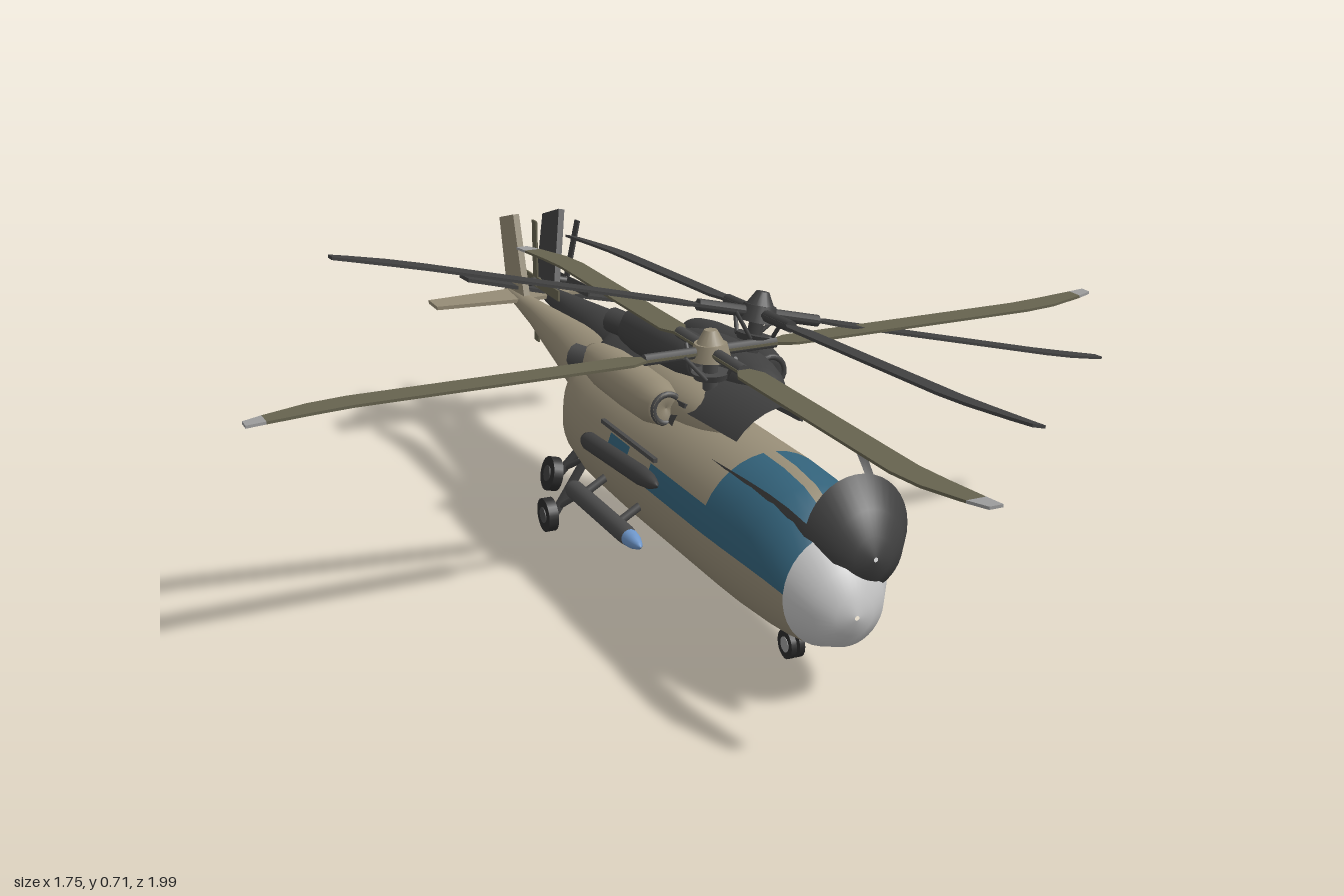
import * as THREE from 'three';

const mat = (name, color, side = THREE.FrontSide) => {
  const m = new THREE.MeshStandardMaterial({ color, side });
  m.name = name;
  return m;
};

// Hull stations: z, half width, bottom y, top y
const HULL = [
  [0.692, 0.004, 0.16, 0.168], [0.685, 0.035, 0.13, 0.2], [0.665, 0.065, 0.103, 0.24], [0.62, 0.097, 0.085, 0.287],
  [0.58, 0.112, 0.08, 0.316], [0.53, 0.123, 0.077, 0.334], [0.46, 0.13, 0.075, 0.343], [0.385, 0.133, 0.075, 0.345],
  [0.16, 0.133, 0.075, 0.345], [0.067, 0.133, 0.075, 0.345], [-0.02, 0.133, 0.076, 0.345], [-0.18, 0.131, 0.08, 0.345],
  [-0.26, 0.123, 0.093, 0.344], [-0.3, 0.105, 0.125, 0.343], [-0.325, 0.08, 0.18, 0.342], [-0.36, 0.07, 0.203, 0.342],
  [-0.5, 0.05, 0.232, 0.338], [-0.7, 0.028, 0.274, 0.33], [-0.8, 0.02, 0.29, 0.326], [-0.89, 0.012, 0.302, 0.322], [-0.895, 0.001, 0.31, 0.312],
];

// Loft with groups: 0 skin, 1 glazing, 2 nose cap
function hullGeometry(openWindows) {
  const N = 36, pos = [], parts = [[], [], []];
  for (const [z, w, lo, hi] of HULL)
    for (let j = 0; j < N; j++) {
      const a = THREE.MathUtils.degToRad(5 + j * 10);
      pos.push(w * Math.cos(a), (lo + hi) / 2 + (hi - lo) / 2 * Math.sin(a), z);
    }
  for (let i = 0; i < HULL.length - 1; i++)
    for (let j = 0; j < N; j++) {
      const z = (HULL[i][0] + HULL[i + 1][0]) / 2;
      const side = j < 2 || j === 15 || j === 16;
      const canopy = z < 0.62 && z > 0.385 && j < 17 && j !== 8;
      const cabin = side && ((z < 0.385 && z > 0.16) || (z < 0.067 && z > -0.02));
      const k = z > 0.62 ? 2 : canopy || cabin ? 1 : 0;
      const a = i * N + j, b = i * N + (j + 1) % N;
      parts[k].push(a, a + N, b, b, a + N, b + N);
    }
  const g = new THREE.BufferGeometry();
  g.setAttribute('position', new THREE.Float32BufferAttribute(pos, 3));
  g.setIndex(parts.flat());
  g.computeVertexNormals();
  if (openWindows) parts[1] = [];
  g.setIndex(parts.flat());
  let start = 0;
  parts.forEach((p, k) => { g.addGroup(start, p.length, k); start += p.length; });
  return g;
}

// Plate from a list of [x, y] points, centred on its thickness
function plate(points, depth) {
  const g = new THREE.ExtrudeGeometry(new THREE.Shape(points.map(p => new THREE.Vector2(...p))), { depth, bevelEnabled: false });
  return g.translate(0, 0, -depth / 2);
}

// Rod between two points
function rod(a, b, r) {
  const A = new THREE.Vector3(...a), B = new THREE.Vector3(...b), d = B.clone().sub(A);
  const g = new THREE.CylinderGeometry(r, r, d.length(), 10);
  g.applyQuaternion(new THREE.Quaternion().setFromUnitVectors(new THREE.Vector3(0, 1, 0), d.normalize()));
  return g.translate(...A.add(B).multiplyScalar(0.5).toArray());
}

// Body of revolution along z from [radius, z] points, listed back to front
const turned = (pts) => new THREE.LatheGeometry(pts.map(p => new THREE.Vector2(...p)), 20).rotateX(Math.PI / 2);

function helicopter(m, open, bladeScale) {
  const heli = new THREE.Group();
  const add = (name, geo, material, parent = heli) => {
    const mesh = new THREE.Mesh(geo, material);
    mesh.name = name;
    parent.add(mesh);
    return mesh;
  };
  add('hull', hullGeometry(open), [m.skin, m.glass, m.nose]);

  // Roof fairing and mast
  add('roofFairing', new THREE.SphereGeometry(1, 24, 14).scale(0.065, 0.055, 0.22).translate(0, 0.34, 0.06), m.skin);
  add('mast', rod([0, 0.33, 0.155], [0, 0.47, 0.155], 0.014), m.metal);

  // Main rotor with swept tips
  const rotor = new THREE.Group();
  rotor.name = 'mainRotor';
  rotor.position.set(0, 0.46, 0.155);
  heli.add(rotor);
  add('rotorHub', new THREE.CylinderGeometry(0.03, 0.038, 0.03, 20), m.skin, rotor);
  add('rotorCap', new THREE.CylinderGeometry(0.012, 0.026, 0.025, 16).translate(0, 0.027, 0), m.skin, rotor);
  add('swashPlate', new THREE.CylinderGeometry(0.035, 0.03, 0.012, 20).translate(0, -0.045, 0), m.metal, rotor);
  const blade = plate([[-0.012, 0.03], [-0.012, 0.13], [-0.026, 0.16], [-0.026, 0.66], [-0.016, 0.73], [0.012, 0.81],
    [0.046, 0.81], [0.034, 0.73], [0.026, 0.66], [0.026, 0.16], [0.012, 0.13], [0.012, 0.03]].reverse(), 0.005).rotateX(Math.PI / 2);
  const tip = plate([[0.046, 0.81], [0.012, 0.81], [0.028, 0.845], [0.052, 0.845]], 0.005).rotateX(Math.PI / 2);
  for (let k = 0; k < 4; k++) {
    const arm = new THREE.Group();
    arm.name = 'rotorBlade';
    arm.rotation.y = k * Math.PI / 2;
    arm.scale.set(1, 1, bladeScale);
    rotor.add(arm);
    add('blade', blade, m.blade, arm);
    add('bladeTip', tip, m.tip, arm);
    add('bladeGrip', rod([0, 0, 0.02], [0, 0, 0.13], 0.011), m.metal, arm);
    add('pitchLink', rod([0.025, -0.045, 0.02], [0.02, 0, 0.06], 0.004), m.metal, arm);
  }

  // Tail fin, tailplane and tail rotor
  add('tailFin', plate([[0.77, 0.315], [0.8, 0.292], [0.88, 0.305], [0.92, 0.475], [0.83, 0.5]], 0.014).rotateY(Math.PI / 2), m.skin);
  add('tailplane', plate([[-0.2, -0.86], [0, -0.875], [0.2, -0.86], [0.2, -0.8], [0, -0.78], [-0.2, -0.8]], 0.008)
    .rotateX(Math.PI / 2).translate(0, 0.315, 0), m.skin);
  const tail = new THREE.Group();
  tail.name = 'tailRotor';
  tail.position.set(0.045, 0.34, -0.835);
  heli.add(tail);
  add('tailRotorShaft', rod([-0.045, 0, 0], [0.01, 0, 0], 0.009), m.metal, tail);
  for (let k = 0; k < 4; k++) {
    const b = add('tailRotorBlade', new THREE.BoxGeometry(0.004, 0.13, 0.024).translate(0, 0.075, 0), m.blade, tail);
    b.rotation.x = k * Math.PI / 2;
  }

  // Parts mirrored on both sides
  for (const s of [-1, 1]) {
    add('engine', turned([[0.001, -0.225], [0.03, -0.22], [0.036, -0.2], [0.043, -0.14], [0.045, -0.03], [0.043, 0.07],
      [0.034, 0.11], [0.03, 0.125], [0.001, 0.115]]).translate(s * 0.07, 0.35, 0), m.skin);
    add('engineIntake', new THREE.TorusGeometry(0.027, 0.006, 8, 20).translate(s * 0.07, 0.35, 0.12), m.metal);
    add('exhaust', rod([s * 0.075, 0.35, -0.18], [s * 0.105, 0.355, -0.235], 0.025), m.metal);
    add('doorRail', new THREE.BoxGeometry(0.008, 0.008, 0.24).translate(s * 0.12, 0.278, 0.06), m.metal);

    // Weapon pod on its pylon
    add('pod', turned([[0.001, -0.095], [0.014, -0.095], [0.018, -0.08], [0.018, 0.16], [0.016, 0.18]])
      .translate(s * 0.172, 0.14, 0), m.metal);
    add('podTip', turned([[0.016, 0.18], [0.014, 0.2], [0.007, 0.222], [0.001, 0.23]]).translate(s * 0.172, 0.14, 0), m.podTip);
    for (const z of [-0.04, 0.12])
      add('podPylon', rod([s * 0.11, 0.18, z], [s * 0.17, 0.145, z], 0.008), m.metal);

    // Main landing gear
    add('mainStrut', rod([s * 0.1, 0.15, -0.2], [s * 0.155, 0.035, -0.23], 0.009), m.metal);
    add('mainBrace', rod([s * 0.1, 0.12, -0.14], [s * 0.15, 0.045, -0.23], 0.006), m.metal);
    add('mainWheel', new THREE.CylinderGeometry(0.034, 0.034, 0.02, 24).rotateZ(Math.PI / 2).translate(s * 0.17, 0.034, -0.23), m.tyre);
    add('mainWheelCap', new THREE.CylinderGeometry(0.016, 0.016, 0.024, 16).rotateZ(Math.PI / 2).translate(s * 0.17, 0.034, -0.23), m.metal);
  }

  // Nose gear
  add('noseStrut', rod([0, 0.1, 0.475], [0, 0.03, 0.475], 0.008), m.metal);
  for (const s of [-1, 1]) {
    add('noseWheel', new THREE.CylinderGeometry(0.026, 0.026, 0.01, 20).rotateZ(Math.PI / 2).translate(s * 0.008, 0.026, 0.475), m.tyre);
    add('noseWheelCap', new THREE.CylinderGeometry(0.014, 0.014, 0.012, 14).rotateZ(Math.PI / 2).translate(s * 0.008, 0.026, 0.475), m.tip);
  }
  return heli;
}

export function createModel() {
  const model = new THREE.Group();
  const tan = mat('tan paint', 0x968c76), char = mat('charred black', 0x404040), metal = mat('dark metal', 0x4a4a4a);
  const tyre = mat('rubber', 0x2c2c2c);

  // Intact machine
  const intact = helicopter({
    skin: tan, metal, tyre, glass: mat('blue glass', 0x33627a), nose: mat('pale grey', 0xc4c4c4),
    blade: mat('olive blade', 0x66634f), tip: mat('mid grey', 0x9c9c9c), podTip: mat('light blue', 0x6d95c8),
  }, false, 1);
  intact.name = 'intactHelicopter';
  intact.position.x = -0.03;
  model.add(intact);

  // Burnt machine with empty windows, banked and pitched
  const burnt = helicopter({
    skin: char, metal: char, tyre, glass: char, nose: char, blade: char, tip: char, podTip: char,
  }, true, 0.963);
  burnt.name = 'burntHelicopter';
  burnt.rotation.set(-0.056, 0, -0.243);
  const hub = new THREE.Vector3(0, 0.46, 0.155).applyEuler(burnt.rotation);
  burnt.position.set(0.08, 0.51, 0.1275).sub(hub);
  model.add(burnt);
  return model;
}
